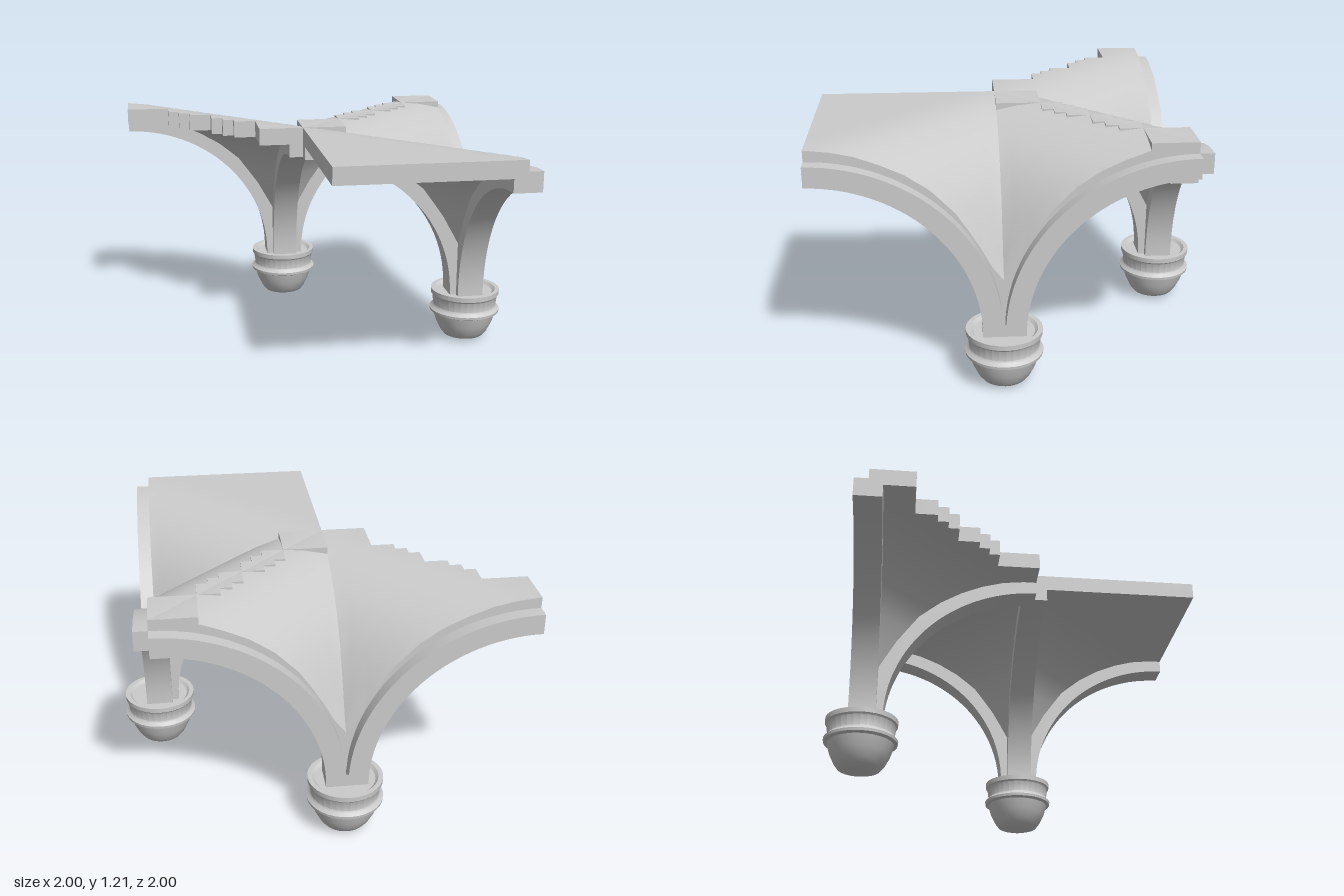
import * as THREE from 'three';
import { toCreasedNormals } from 'three/addons/utils/BufferGeometryUtils.js';

const BAY = 0.905;           // side of one square quarter bay
const N = 16;                // cells along a quarter bay
const CELL = BAY / N;
const SPRING = 0.29;         // height where the ribs start
const material = new THREE.MeshStandardMaterial({ color: 0xcccccc });

// Web heights by distance from the corbel: [distance, underside, upper side]
const PROFILE = [
  [0, 0.32, 0.54], [0.06, 0.42, 0.62], [0.135, 0.56, 0.76], [0.23, 0.73, 0.9],
  [0.34, 0.88, 1.01], [0.45, 0.97, 1.085], [0.57, 1.04, 1.14], [0.68, 1.085, 1.18],
  [0.79, 1.115, 1.203], [0.905, 1.128, 1.215], [3, 1.128, 1.215],
];
function height(s, side) {
  const k = Math.max(1, PROFILE.findIndex((p) => p[0] >= s));
  const a = PROFILE[k - 1], b = PROFILE[k];
  return a[side] + (b[side] - a[side]) * (s - a[0]) / (b[0] - a[0]);
}

// Cells kept in each row of a web
const FULL = Array(N).fill(N);
const STEPPED = [16, 16, 16, 16, 12, 12, 11, 10, 8, 8, 7, 6, 4, 4, 4, 4];

// Curved slab rising from a corbel towards (sx, sz)
function webGeometry(rows, sx, sz) {
  const pos = [];
  const point = (i, j, side) => [sx * i * CELL, height((i + j) * CELL, side), sz * j * CELL];
  const quad = (a, b, c, d) => {
    const order = sx * sz > 0 ? [a, b, c, a, c, d] : [a, c, b, a, d, c];
    order.forEach((p) => pos.push(...p));
  };
  const kept = (i, j) => i >= 0 && j >= 0 && j < N && i < rows[j];
  for (let j = 0; j < N; j++) {
    for (let i = 0; i < rows[j]; i++) {
      const corners = [[i, j], [i, j + 1], [i + 1, j + 1], [i + 1, j]];
      const up = corners.map(([u, v]) => point(u, v, 2));
      const low = corners.map(([u, v]) => point(u, v, 1));
      quad(...up);
      quad(low[3], low[2], low[1], low[0]);
      // Edge walls where no cell follows
      [[-1, 0], [0, 1], [1, 0], [0, -1]].forEach(([di, dj], k) => {
        const n = (k + 1) % 4;
        if (!kept(i + di, j + dj)) quad(up[k], low[k], low[n], up[n]);
      });
    }
  }
  const g = new THREE.BufferGeometry();
  g.setAttribute('position', new THREE.Float32BufferAttribute(pos, 3));
  return toCreasedNormals(g, 0.5);
}

// Half arch rib running along +x from its corbel
function ribGeometry() {
  const shape = new THREE.Shape();
  const steps = 28, inner = [], outer = [];
  for (let k = 0; k <= steps; k++) {
    const a = (k / steps) * Math.PI / 2;
    inner.push([BAY - 0.8 * Math.cos(a), SPRING + 0.77 * Math.sin(a)]);
    outer.push([BAY - 0.9 * Math.cos(a), SPRING + 0.87 * Math.sin(a)]);
  }
  shape.moveTo(-0.07, 0.25);
  shape.lineTo(0.105, 0.25);
  inner.forEach((p) => shape.lineTo(...p));
  outer.reverse().forEach((p) => shape.lineTo(...p));
  shape.lineTo(-0.07, SPRING + 0.05);
  const g = new THREE.ExtrudeGeometry(shape, { depth: 0.14, bevelEnabled: false });
  g.translate(0, 0, -0.07);
  return toCreasedNormals(g, 0.5);
}

// Round moulded corbel under the ribs
function corbelGeometry() {
  const profile = [
    [0, 0.005], [0.06, 0.009], [0.11, 0.025], [0.13, 0.05], [0.155, 0.1], [0.172, 0.155],
    [0.19, 0.163], [0.192, 0.178], [0.177, 0.19], [0.172, 0.2], [0.179, 0.255],
    [0.187, 0.264], [0.188, 0.29], [0.165, 0.29], [0.15, 0.275], [0, 0.275],
  ];
  const g = new THREE.LatheGeometry(profile.map((p) => new THREE.Vector2(...p)), 32);
  return toCreasedNormals(g, 0.6);
}

export function createModel() {
  const model = new THREE.Group();
  const rib = ribGeometry(), corbel = corbelGeometry();
  const add = (parent, name, geometry) => {
    const mesh = new THREE.Mesh(geometry, material);
    mesh.name = name;
    parent.add(mesh);
    return mesh;
  };

  // Each springer: corbel position, rib directions, webs as [rows, sx, sz]
  const springers = [
    { name: 'backSpringer', x: -0.095, z: -0.81, turns: [0, Math.PI, -Math.PI / 2],
      webs: [[STEPPED, -1, 1], [STEPPED, 1, 1]] },
    { name: 'rightSpringer', x: 0.81, z: 0.095, turns: [Math.PI / 2, Math.PI, -Math.PI / 2],
      webs: [[STEPPED, -1, -1], [FULL, -1, 1]] },
  ];
  for (const s of springers) {
    const group = new THREE.Group();
    group.name = s.name;
    group.position.set(s.x, 0, s.z);
    add(group, 'corbel', corbel);
    s.turns.forEach((t) => { add(group, 'archRib', rib).rotation.y = t; });
    s.webs.forEach((w) => add(group, 'vaultWeb', webGeometry(...w)));
    model.add(group);
  }

  // Quarter-round boss where the two wall ribs meet
  const boss = new THREE.Shape();
  boss.moveTo(0, 0);
  boss.absarc(0, 0, 0.13, Math.PI, Math.PI * 1.5, false);
  boss.lineTo(0, 0);
  const bossGeometry = new THREE.ExtrudeGeometry(boss, { depth: 0.08, bevelEnabled: false, curveSegments: 8 });
  bossGeometry.rotateX(-Math.PI / 2);
  add(model, 'crownBoss', toCreasedNormals(bossGeometry, 0.5)).position.set(0.81, 1.015, -0.81);
  return model;
}
